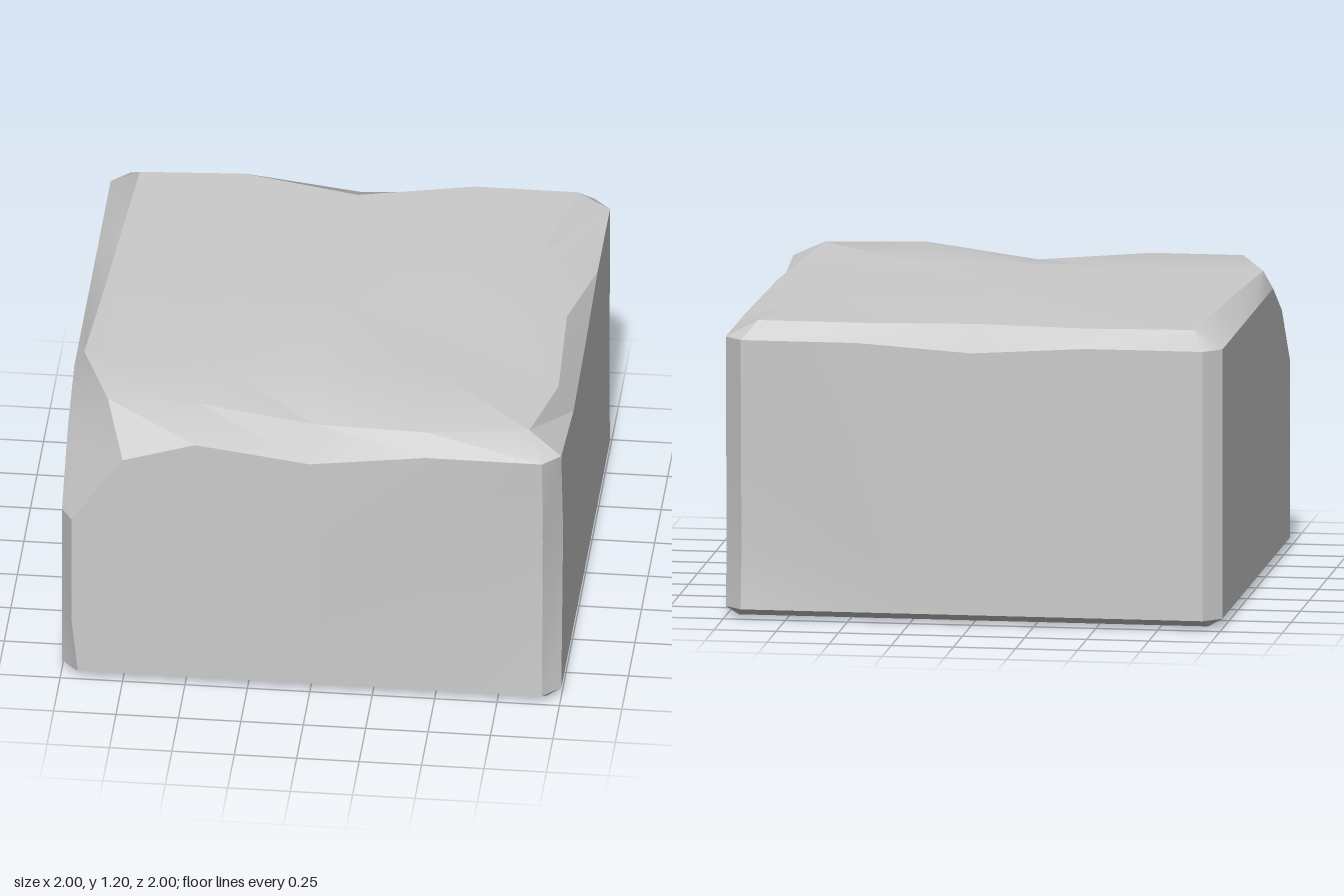
import * as THREE from 'three';
import { toCreasedNormals } from 'three/addons/utils/BufferGeometryUtils.js';

// Sample positions along x, y and z; the first and last are the block's faces
const S = [[-1, -0.46, 0, 0.46, 1], [0.01, 0.28, 0.75, 1.2], [-1, -0.46, 0, 0.46, 1]];

// Worn bevels. Key: face then neighbouring face; values run along their shared edge.
// inset: how far the face's border lies from the neighbour
const inset = {
  '+y+x': [0.13, 0.225, 0.075, 0.06, 0.135],
  '+y-x': [0.12, 0.095, 0.07, 0.04, 0.17],
  '+y+z': [0.2, 0.2, 0.165, 0.08, 0.14],
  '+y-z': [0.1, 0.07, 0.165, 0.07, 0.07],
  '+x+y': [0.07, 0.07, 0.12, 0.15, 0.07],
  '-x+y': [0.07, 0.07, 0.07, 0.07, 0.2],
  '+z+y': [0.16, 0.07, 0.13, 0.07, 0.07],
  '-z+y': [0.07, 0.07, 0.1, 0.07, 0.07],
  '+x+z': [0.07, 0.095, 0.14, 0.07],
  '+x-z': [0.07, 0.095, 0.08, 0.07],
  '+z-x': [0.07, 0.045, 0.045, 0.25],
  '-x+z': [0.07, 0.07, 0.07, 0.3],
};
// sink: how far that border is pressed below the face
const sink = {
  '+y+z': [0, 0, 0.045, 0, 0],
  '+y+x': [0, 0, 0, 0.04, 0],
  '+y-z': [0, 0, 0.01, 0, 0],
  '+z+x': [0, 0.01, 0.03, 0],
  '-z+x': [0, 0.025, 0.01, 0],
  '-y-x': [0, 0, -0.01, 0, 0],
};

const name = (axis, sign) => (sign > 0 ? '+' : '-') + 'xyz'[axis];
const end = (axis, sign) => (sign > 0 ? S[axis].length - 1 : 0);

// Point of face (axis n, sign s) at grid index idx
function point(n, s, idx) {
  const p = idx.map((k, a) => S[a][k]);
  for (let a = 0; a < 3; a++) {
    if (a === n) continue;
    const t = idx[a] === 0 ? -1 : idx[a] === S[a].length - 1 ? 1 : 0;
    if (!t) continue;
    const along = idx[3 - n - a];
    const key = name(n, s) + name(a, t);
    const base = n === 1 && s < 0 ? 0.055 : a === 1 && t < 0 ? 0.03 : 0.07;
    p[a] -= t * (inset[key] ? inset[key][along] : base);
    p[n] -= s * (sink[key] ? sink[key][along] : 0);
  }
  return new THREE.Vector3(...p);
}

function blockGeometry() {
  const pos = [];
  const centre = new THREE.Vector3(0, 0.6, 0);
  // Adds a triangle turned to face outwards
  const tri = (a, b, c) => {
    const normal = b.clone().sub(a).cross(c.clone().sub(a));
    const out = a.clone().add(b).add(c).divideScalar(3).sub(centre);
    const order = normal.dot(out) < 0 ? [a, c, b] : [a, b, c];
    order.forEach((v) => pos.push(v.x, v.y, v.z));
  };
  const quad = (a, b, c, d) => { tri(a, b, c); tri(a, c, d); };
  const signs = [-1, 1];

  for (let n = 0; n < 3; n++) {
    const u = (n + 1) % 3, v = (n + 2) % 3;
    // Two opposite faces
    for (const s of signs) {
      const at = (i, j) => {
        const idx = [];
        idx[n] = end(n, s); idx[u] = i; idx[v] = j;
        return point(n, s, idx);
      };
      for (let i = 0; i < S[u].length - 1; i++)
        for (let j = 0; j < S[v].length - 1; j++)
          quad(at(i, j), at(i + 1, j), at(i + 1, j + 1), at(i, j + 1));
    }
    // Four bevels running along this axis
    for (const su of signs) for (const sv of signs) {
      const at = (axis, sign, k) => {
        const idx = [];
        idx[n] = k; idx[u] = end(u, su); idx[v] = end(v, sv);
        return point(axis, sign, idx);
      };
      for (let k = 0; k < S[n].length - 1; k++)
        quad(at(u, su, k), at(u, su, k + 1), at(v, sv, k + 1), at(v, sv, k));
    }
  }
  // Eight corner triangles
  for (const x of signs) for (const y of signs) for (const z of signs) {
    const idx = [end(0, x), end(1, y), end(2, z)];
    tri(point(0, x, idx), point(1, y, idx), point(2, z, idx));
  }

  const geo = new THREE.BufferGeometry();
  geo.setAttribute('position', new THREE.Float32BufferAttribute(pos, 3));
  return toCreasedNormals(geo, 0.45);
}

export function createModel() {
  const model = new THREE.Group();
  model.name = 'stoneBlock';
  const block = new THREE.Mesh(blockGeometry(), new THREE.MeshStandardMaterial({ color: 0xcccccc }));
  block.name = 'wornBlock';
  model.add(block);
  return model;
}
